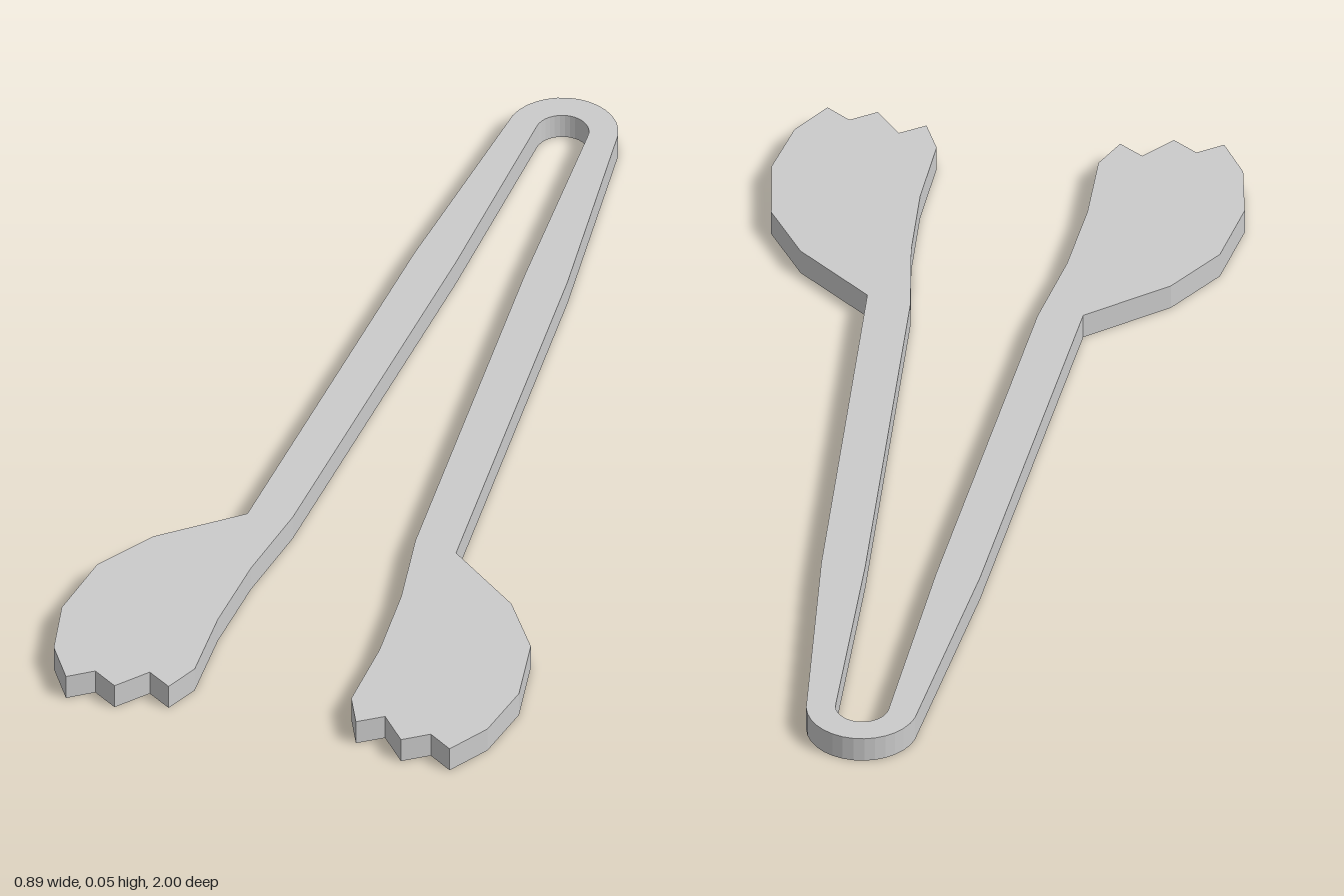
import * as THREE from 'three';

const THICKNESS = 0.05;
const BEND_Z = -0.895; // centre of the rounded bend

// Half outline as [x, z], mirrored for the other arm
const outerArm = [[0.15, -0.45], [0.204, 0.415]];
const paddle = [[0.35, 0.535], [0.424, 0.65], [0.447, 0.797], [0.424, 0.92]];
const teeth = [[0.375, 1], [0.328, 0.967], [0.28, 1], [0.23, 0.94], [0.183, 0.972], [0.153, 0.905]];
const innerEdge = [[0.158, 0.745], [0.147, 0.575], [0.12, 0.4], [0.067, -0.45]];

// Quarter of the bend, from the middle out to the arm
function quarterArc(radius, steps = 8) {
  return Array.from({ length: steps + 1 }, (_, i) => {
    const a = (i / steps) * Math.PI / 2;
    return [radius * Math.sin(a), BEND_Z - radius * Math.cos(a)];
  });
}

export function createModel() {
  const group = new THREE.Group();
  group.name = 'tongs';

  // From the outer middle of the bend, round one arm, to the inner middle
  const half = [
    ...quarterArc(0.105), ...outerArm, ...paddle, ...teeth, ...innerEdge,
    ...quarterArc(0.05).reverse(),
  ];
  const mirrored = half.slice(1, -1).reverse().map(([x, z]) => [-x, z]);
  const outline = [...half, ...mirrored].map(([x, z]) => new THREE.Vector2(x, -z));

  // One flat sheet, laid down on the ground
  const geometry = new THREE.ExtrudeGeometry(new THREE.Shape(outline), {
    depth: THICKNESS, bevelEnabled: false,
  });
  geometry.rotateX(-Math.PI / 2);

  const material = new THREE.MeshStandardMaterial({ color: 0xcccccc });
  const body = new THREE.Mesh(geometry, material);
  body.name = 'tongsBody';
  group.add(body);
  return group;
}
